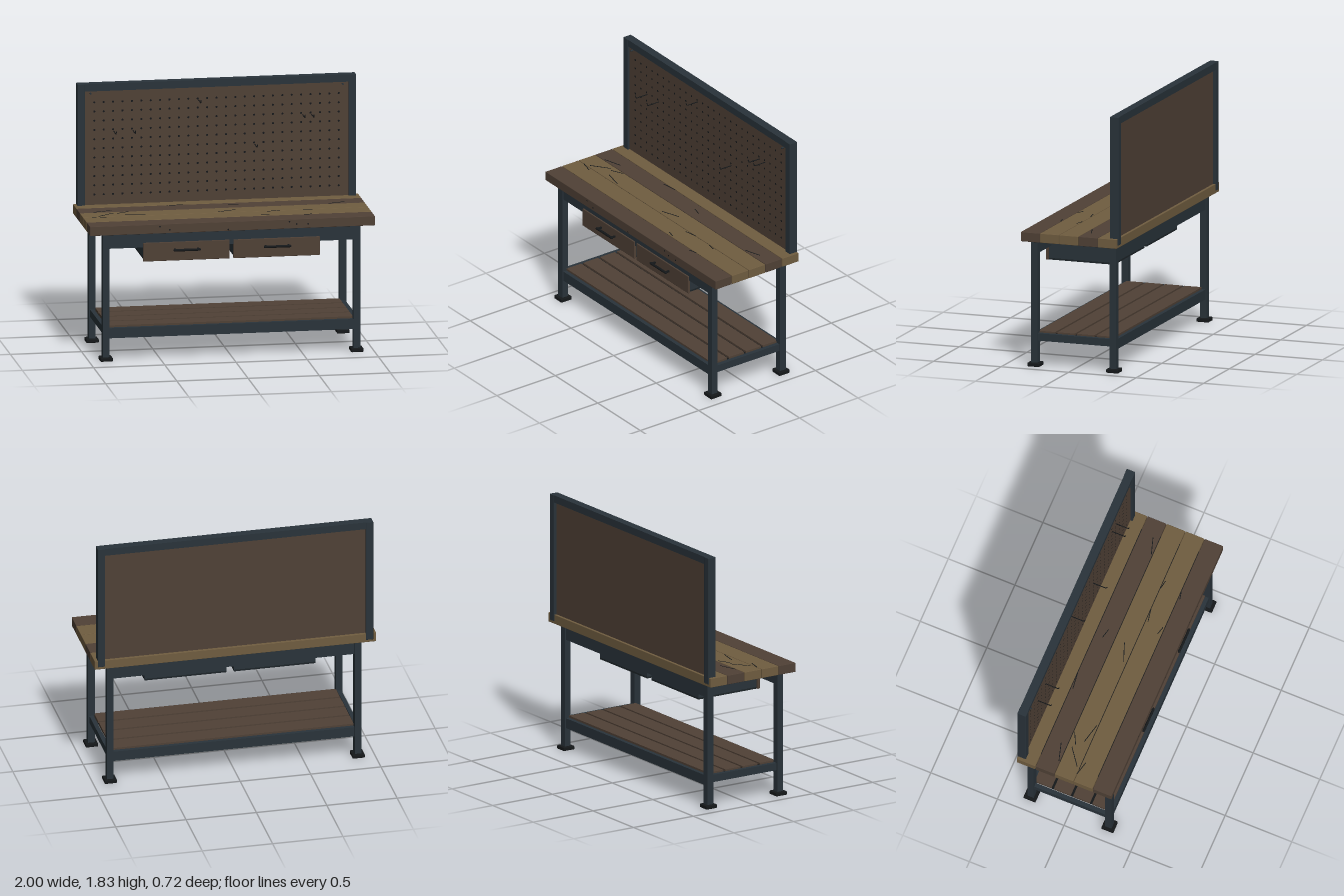
import * as THREE from 'three';
import { mergeGeometries } from 'three/addons/utils/BufferGeometryUtils.js';
import { RoundedBoxGeometry } from 'three/addons/geometries/RoundedBoxGeometry.js';

const material = (name, color) => {
  const m = new THREE.MeshStandardMaterial({ color });
  m.name = name;
  return m;
};

export function createModel() {
  const steel = material('slate steel', 0x29333a);
  const darkSteel = material('dark steel', 0x1d2428);
  const brown = material('dark wood', 0x504136);
  const tan = material('tan wood', 0x705d40);
  const black = material('black', 0x15181a);

  const model = new THREE.Group();
  model.name = 'workbench';

  const add = (name, geometry, mat, parent = model) => {
    const mesh = new THREE.Mesh(geometry, mat);
    mesh.name = name;
    parent.add(mesh);
    return mesh;
  };
  // Box given by its minimum and maximum on each axis, optionally rounded
  const box = (name, [x0, x1], [y0, y1], [z0, z1], mat, parent, r = 0) => {
    const size = [x1 - x0, y1 - y0, z1 - z0];
    const g = r ? new RoundedBoxGeometry(...size, 1, r) : new THREE.BoxGeometry(...size);
    g.translate((x0 + x1) / 2, (y0 + y1) / 2, (z0 + z1) / 2);
    return add(name, g, mat, parent);
  };
  const group = (name) => {
    const g = new THREE.Group();
    g.name = name;
    model.add(g);
    return g;
  };

  // Legs and feet
  for (const sx of [-1, 1]) {
    const x = sx * 0.88;
    for (const sz of [-1, 1]) {
      const z = sz * 0.292;
      box('leg', [x - 0.024, x + 0.024], [0.025, 0.902], [z - 0.024, z + 0.024], steel);
      box('foot', [x - 0.044, x + 0.044], [0, 0.027], [z - 0.045, z + 0.045], black, model, 0.006);
    }
    // Side rails of the shelf
    box('shelfSideRail', [x - 0.015, x + 0.015], [0.182, 0.234], [-0.27, 0.27], steel);
  }

  // Front and back rails
  for (const sz of [-1, 1]) {
    const z = sz * 0.292;
    box('apron', [-0.858, 0.858], [0.795, 0.902], [z - 0.014, z + 0.014], steel);
    box('shelfRail', [-0.858, 0.858], [0.159, 0.23], [z - 0.015, z + 0.015], steel);
  }

  // Lower shelf boards with dark strips in the gaps
  const shelf = group('lowerShelf');
  for (let i = 0; i < 4; i++) {
    const z = -0.216 + i * 0.144;
    box('shelfBoard', [-0.858, 0.858], [0.222, 0.244], [z - 0.063, z + 0.063], brown, shelf);
    if (i < 3) box('shelfGap', [-0.858, 0.858], [0.224, 0.23], [z + 0.063, z + 0.081], black, shelf);
  }

  // Worktop planks with dark joints between them
  const worktop = group('worktop');
  [tan, brown, tan, tan, brown].forEach((mat, i) => {
    const z = -0.286 + i * 0.143;
    box('plank', [-1, 1], [0.901, 0.967], [z - 0.0695, z + 0.0695], mat, worktop, 0.003);
    if (i < 4) box('joint', [-0.9, 0.9], [0.906, 0.962], [z + 0.068, z + 0.075], black, worktop);
  });

  // Scratches on the worktop: x and z of both ends
  const scratches = [
    [-0.89, 0.053, -0.77, -0.037], [-0.745, -0.02, -0.66, -0.063], [-0.94, 0.072, -0.84, 0.097],
    [-0.7, 0.027, -0.56, 0.06], [-0.05, 0.048, 0.08, 0], [-0.9, -0.08, -0.77, -0.118],
    [-0.37, -0.198, -0.25, -0.212], [0.056, -0.155, 0.126, -0.138], [0.286, 0.09, 0.38, 0.073],
    [0.227, 0.187, 0.286, 0.203], [0.543, 0.075, 0.607, 0.087], [0.52, 0.23, 0.58, 0.217],
    [0.75, -0.08, 0.87, -0.118],
  ];
  for (const [x0, z0, x1, z1] of scratches) {
    const g = new THREE.BoxGeometry(Math.hypot(x1 - x0, z1 - z0), 0.003, 0.005);
    const s = add('scratch', g, black, worktop);
    s.position.set((x0 + x1) / 2, 0.9675, (z0 + z1) / 2);
    s.rotation.y = -Math.atan2(z1 - z0, x1 - x0);
  }
  // Small dents in the front edge
  for (const [x, y] of [[-0.51, 0.95], [-0.44, 0.925], [-0.03, 0.912], [0.4, 0.95], [0.45, 0.932], [0.53, 0.93]]) {
    const d = add('dent', new THREE.CircleGeometry(0.006, 8), black, worktop);
    d.position.set(x, y, 0.3565);
  }

  // Drawers: open steel tray, wooden front and bar handle
  for (const sx of [-1, 1]) {
    const drawer = group(sx < 0 ? 'rightDrawer' : 'leftDrawer');
    const c = sx * 0.317, w = 0.29, t = 0.012;
    box('trayBottom', [c - w, c + w], [0.696, 0.708], [-0.19, 0.297], darkSteel, drawer);
    box('trayBack', [c - w, c + w], [0.708, 0.813], [-0.19, -0.19 + t], steel, drawer);
    for (const s of [-1, 1]) {
      const x = c + s * (w - t / 2);
      box('traySide', [x - t / 2, x + t / 2], [0.708, 0.813], [-0.19 + t, 0.297], steel, drawer);
    }
    box('drawerFront', [c - 0.303, c + 0.303], [0.696, 0.828], [0.296, 0.315], brown, drawer, 0.003);

    const bar = add('handleBar', new THREE.CapsuleGeometry(0.009, 0.175, 4, 10), black, drawer);
    bar.rotation.z = Math.PI / 2;
    bar.position.set(c, 0.776, 0.348);
    for (const s of [-1, 1]) {
      const x = c + s * 0.08;
      box('handlePost', [x - 0.006, x + 0.006], [0.77, 0.782], [0.314, 0.348], black, drawer);
    }
  }

  // Back frame and pegboard
  const back = group('backBoard');
  for (const s of [-1, 1]) {
    const x = s * 0.952;
    box('post', [x - 0.026, x + 0.026], [0.92, 1.828], [-0.36, -0.296], steel, back, 0.003);
  }
  box('topBeam', [-0.93, 0.93], [1.776, 1.828], [-0.358, -0.298], steel, back);
  box('pegboard', [-0.928, 0.928], [0.966, 1.778], [-0.338, -0.312], brown, back);

  // Peg holes as thin discs
  const holes = [];
  for (let i = 0; i < 27; i++) {
    for (let j = 0; j < 11; j++) {
      const g = new THREE.CircleGeometry(0.0078, 8);
      g.translate((i - 13) * 0.066, 1.04 + j * 0.0655, -0.3105);
      holes.push(g);
    }
  }
  add('pegHoles', mergeGeometries(holes), black, back);

  // Corner screws
  for (const x of [-0.885, 0.885]) {
    const screw = add('screw', new THREE.CylinderGeometry(0.006, 0.006, 0.024, 10), steel, back);
    screw.rotation.x = Math.PI / 2;
    screw.position.set(x, 1.76, -0.303);
  }

  // Tool hooks
  for (const [x, y] of [[-0.125, 1.682], [0.605, 1.55], [0.668, 1.55], [-0.72, 1.483], [-0.585, 1.483], [0.27, 1.352]]) {
    const path = new THREE.CurvePath();
    const p = [[0, -0.312], [0, -0.222], [0.004, -0.217], [0.02, -0.212]]
      .map(([dy, z]) => new THREE.Vector3(x, y + dy, z));
    for (let i = 0; i < 3; i++) path.add(new THREE.LineCurve3(p[i], p[i + 1]));
    add('hook', new THREE.TubeGeometry(path, 16, 0.0035, 6), black, back);
    const tip = add('hookTip', new THREE.SphereGeometry(0.0037, 8, 6), black, back);
    tip.position.copy(p[3]);
  }

  return model;
}
